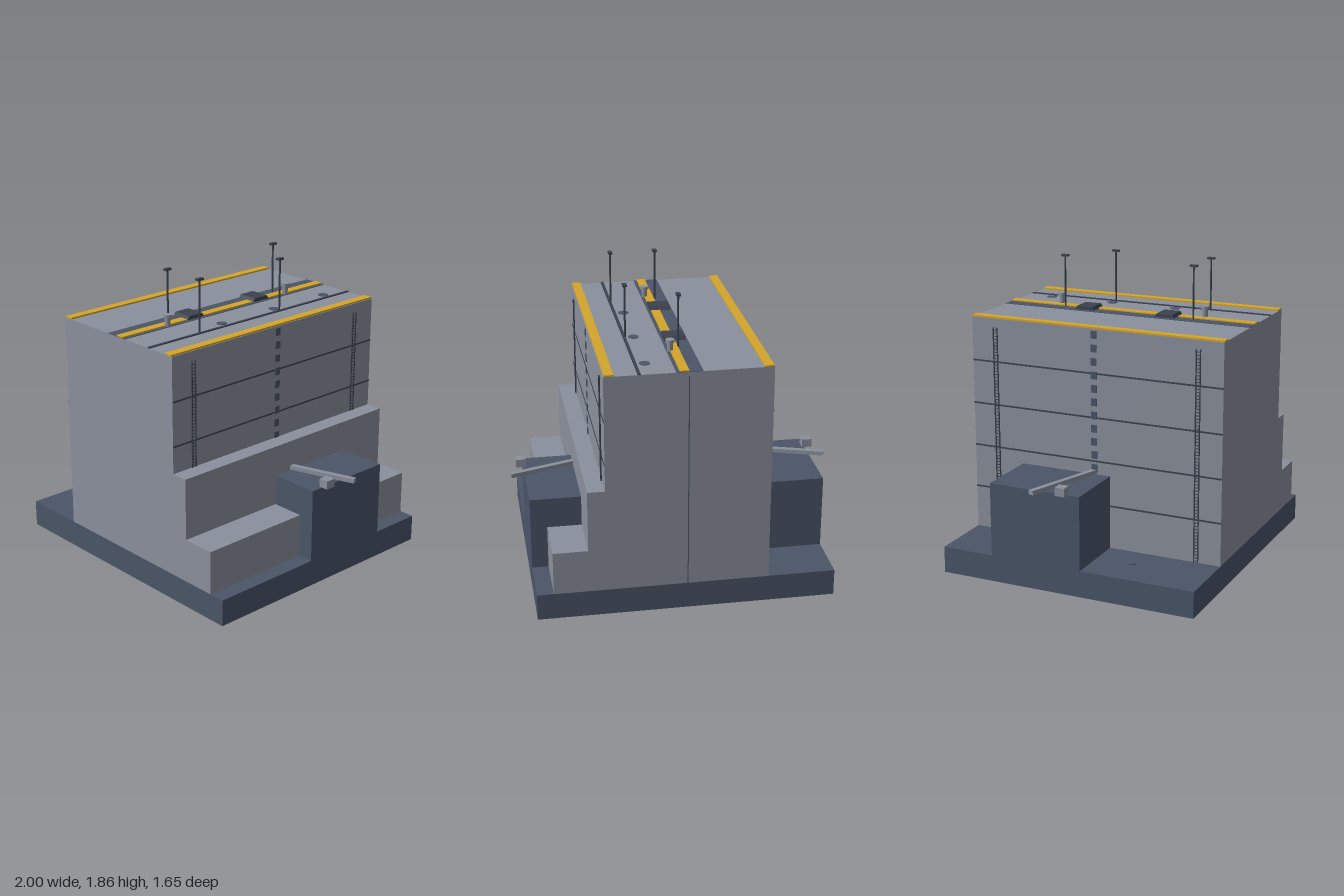
import * as THREE from 'three';

export function createModel() {
  const model = new THREE.Group();
  model.name = 'bunker';
  const mat = (name, color) => {
    const m = new THREE.MeshStandardMaterial({ color });
    m.name = name;
    return m;
  };
  const concrete = mat('concrete grey', 0x8a909c);
  const slate = mat('dark slate', 0x4a5568);
  const iron = mat('dark iron', 0x3c434f);
  const yellow = mat('safety yellow', 0xd4a52a);

  const add = (name, geometry, material, x, y, z, parent = model) => {
    const mesh = new THREE.Mesh(geometry, material);
    mesh.name = name;
    mesh.position.set(x, y, z);
    parent.add(mesh);
    return mesh;
  };
  // Box given by its lower and upper limits on each axis
  const box = (name, material, x0, x1, y0, y1, z0, z1, parent = model) =>
    add(name, new THREE.BoxGeometry(x1 - x0, y1 - y0, z1 - z0), material,
      (x0 + x1) / 2, (y0 + y1) / 2, (z0 + z1) / 2, parent);

  const D = 0.825, ROOF = 1.525, BASE = 0.165;

  // Base slab with a round cover
  box('baseSlab', slate, -0.905, 0.905, 0, BASE, -D, D);
  add('floorCover', new THREE.CylinderGeometry(0.027, 0.027, 0.006, 16), slate, -0.67, BASE + 0.003, 0.325);

  // Tower with two steps, one stepped profile extruded from front to back
  const profile = new THREE.Shape([
    [-0.493, BASE], [0.805, BASE], [0.805, 0.435], [0.595, 0.435],
    [0.595, 0.815], [0.49, 0.815], [0.49, ROOF], [-0.493, ROOF],
  ].map(([x, y]) => new THREE.Vector2(x, y)));
  add('steppedTower', new THREE.ExtrudeGeometry(profile, { depth: 2 * D, bevelEnabled: false }), concrete, 0, 0, -D);

  // Side blocks, each with a slanted bar and a small pivot housing
  for (const s of [-1, 1]) {
    const inner = s < 0 ? 0.49 : 0.59;
    box('sideBlock', slate, Math.min(s * inner, s * 0.905), Math.max(s * inner, s * 0.905), BASE, 0.625, -0.49, 0.103);
    const bar = add('slantedBar', new THREE.BoxGeometry(0.53, 0.026, 0.034), concrete, s * 0.742, 0.642, -0.082);
    bar.rotation.y = s * Math.atan2(0.165, 0.5);
    box('pivotHousing', concrete, s * 0.92 - 0.031, s * 0.92 + 0.031, 0.628, 0.68, -0.032, 0.03);
  }

  // Wall details on both long sides: seams, dashed marking and ladders
  for (const s of [-1, 1]) {
    const wall = s < 0 ? -0.493 : 0.49;
    const floor = s < 0 ? BASE : 0.815;
    const out = (t) => [Math.min(wall, wall + s * t), Math.max(wall, wall + s * t)];
    for (const y of [0.435, 0.708, 0.981, 1.254]) {
      if (y > floor) box('wallSeam', iron, ...out(0.003), y - 0.005, y + 0.005, -D, D);
    }
    for (let y = 1.49; y - 0.023 > floor - 0.01; y -= 0.0825) {
      box('dashMark', slate, ...out(0.005), y - 0.023, y + 0.023, -0.018, 0.02);
    }
    for (const z of [-0.665, 0.668]) {
      const ladder = new THREE.Group();
      ladder.name = 'ladder';
      model.add(ladder);
      for (const dz of [-0.013, 0.013]) {
        box('ladderRail', iron, ...out(0.007), floor, 1.47, z + dz - 0.003, z + dz + 0.003, ladder);
      }
      for (let y = floor + 0.01; y < 1.465; y += 0.02) {
        box('ladderRung', iron, ...out(0.006), y - 0.002, y + 0.002, z - 0.012, z + 0.012, ladder);
      }
    }
  }
  // Thin joint on the back wall
  box('backJoint', slate, -0.003, 0.003, BASE, 1.5, -D - 0.001, -D);

  // Roof strips
  box('roofBand', slate, -0.08, 0.075, ROOF, ROOF + 0.003, -D, D);
  for (const x of [-0.49, 0, 0.43]) box('yellowStrip', yellow, x, x + 0.055, ROOF, 1.535, -D, D);
  box('roofRail', iron, 0.277, 0.295, ROOF, 1.531, -D, D);
  for (const z of [-0.655, -0.22, 0.213]) {
    add('roofDisc', new THREE.CylinderGeometry(0.032, 0.032, 0.003, 20), slate, 0.23, ROOF + 0.0015, z);
  }

  // Tapered roof hatches
  for (const z of [-0.272, 0.268]) {
    const geo = new THREE.BoxGeometry(0.128, 0.022, 0.13);
    const p = geo.attributes.position;
    for (let i = 0; i < p.count; i++) if (p.getY(i) > 0) p.setZ(i, p.getZ(i) * 0.8);
    geo.computeVertexNormals();
    add('roofHatch', geo, iron, -0.002, 1.542, z);
  }

  // Capped vents
  for (const z of [-0.49, 0.485]) {
    add('ventPipe', new THREE.CylinderGeometry(0.018, 0.018, 0.06, 16), concrete, 0.055, 1.555, z);
    add('ventCap', new THREE.CylinderGeometry(0.027, 0.027, 0.016, 16), concrete, 0.055, 1.592, z);
  }

  // Lamp posts
  for (const [x, z] of [[-0.003, 0.432], [0.28, 0.432], [0.28, -0.218], [-0.003, -0.435]]) {
    add('lampPost', new THREE.CylinderGeometry(0.006, 0.006, 0.325, 8), iron, x, ROOF + 0.1625, z);
    box('lampHead', iron, x - 0.013, x + 0.013, 1.846, 1.858, z - 0.023, z + 0.023);
  }
  return model;
}
